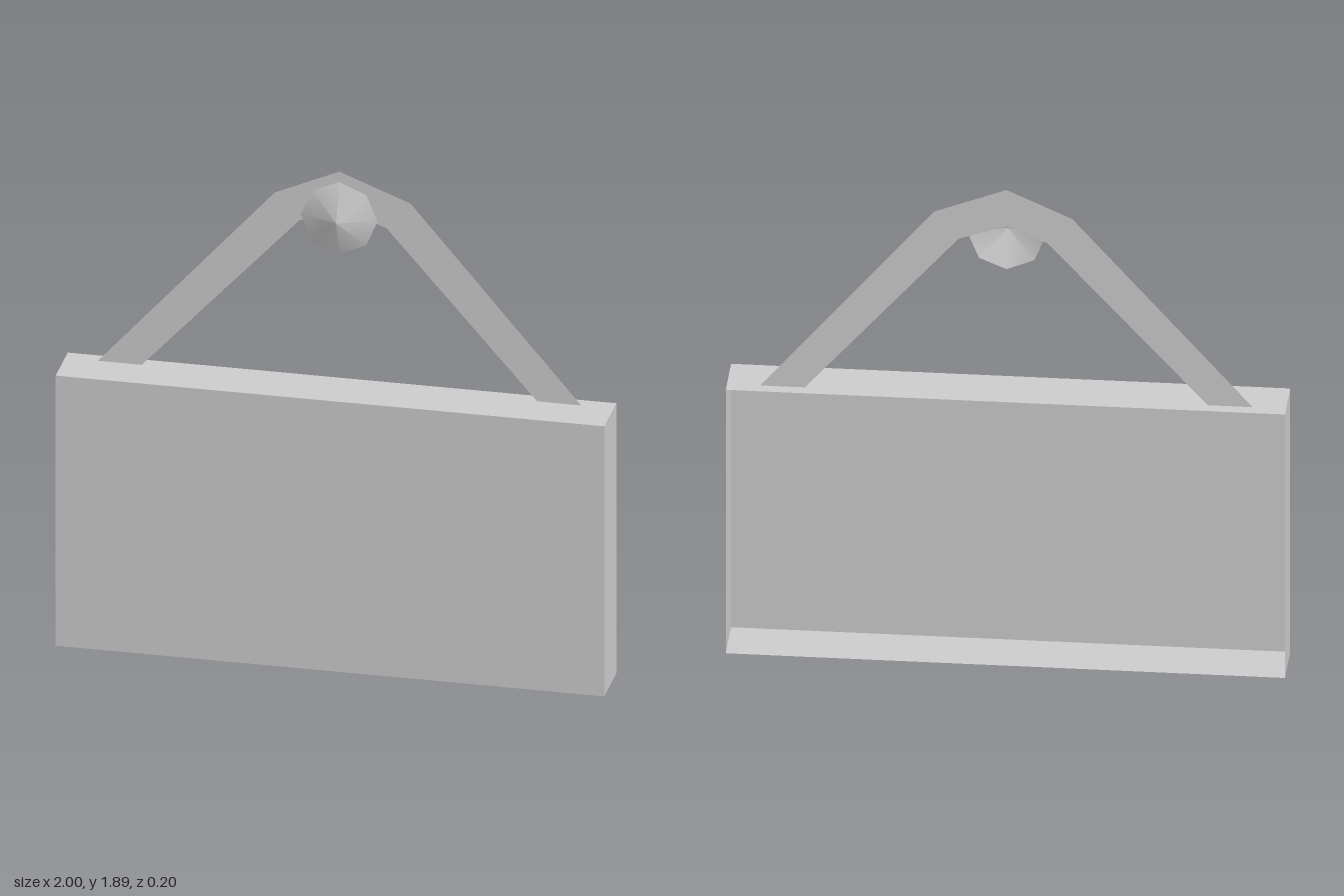
import * as THREE from 'three';

export function createModel() {
  const model = new THREE.Group();
  const grey = new THREE.MeshStandardMaterial({ color: 0xcccccc, side: THREE.DoubleSide });
  grey.name = 'light grey';

  const add = (name, geometry, x, y, z) => {
    const mesh = new THREE.Mesh(geometry, grey);
    mesh.name = name;
    mesh.position.set(x, y, z);
    model.add(mesh);
  };

  // Sign board: thin-walled box with its back face (the last six indices) left open
  const board = new THREE.BoxGeometry(2, 1.06, 0.2);
  board.setIndex(Array.from(board.index.array).slice(0, 30));
  board.clearGroups();
  add('signBoard', board, 0, 0.53, 0);

  // Flat hanging strap whose ends pass just through the board's top
  const outline = [
    [-0.907, 1.03], [-0.748, 1.03], [-0.145, 1.685], [-0.125, 1.69], [0, 1.745],
    [0.13, 1.7], [0.172, 1.685], [0.748, 1.03], [0.907, 1.03],
    [0.26, 1.79], [0, 1.89], [-0.235, 1.785],
  ].map(([x, y]) => new THREE.Vector2(x, y));
  add('hangingStrap', new THREE.ShapeGeometry(new THREE.Shape(outline)), 0, 0, -0.055);

  // Nail head: shallow open eight-sided cone pointing forward
  const nail = new THREE.ConeGeometry(0.14, 0.05, 8, 1, true).rotateX(Math.PI / 2);
  add('nailHead', nail, 0, 1.71, -0.027);

  return model;
}
